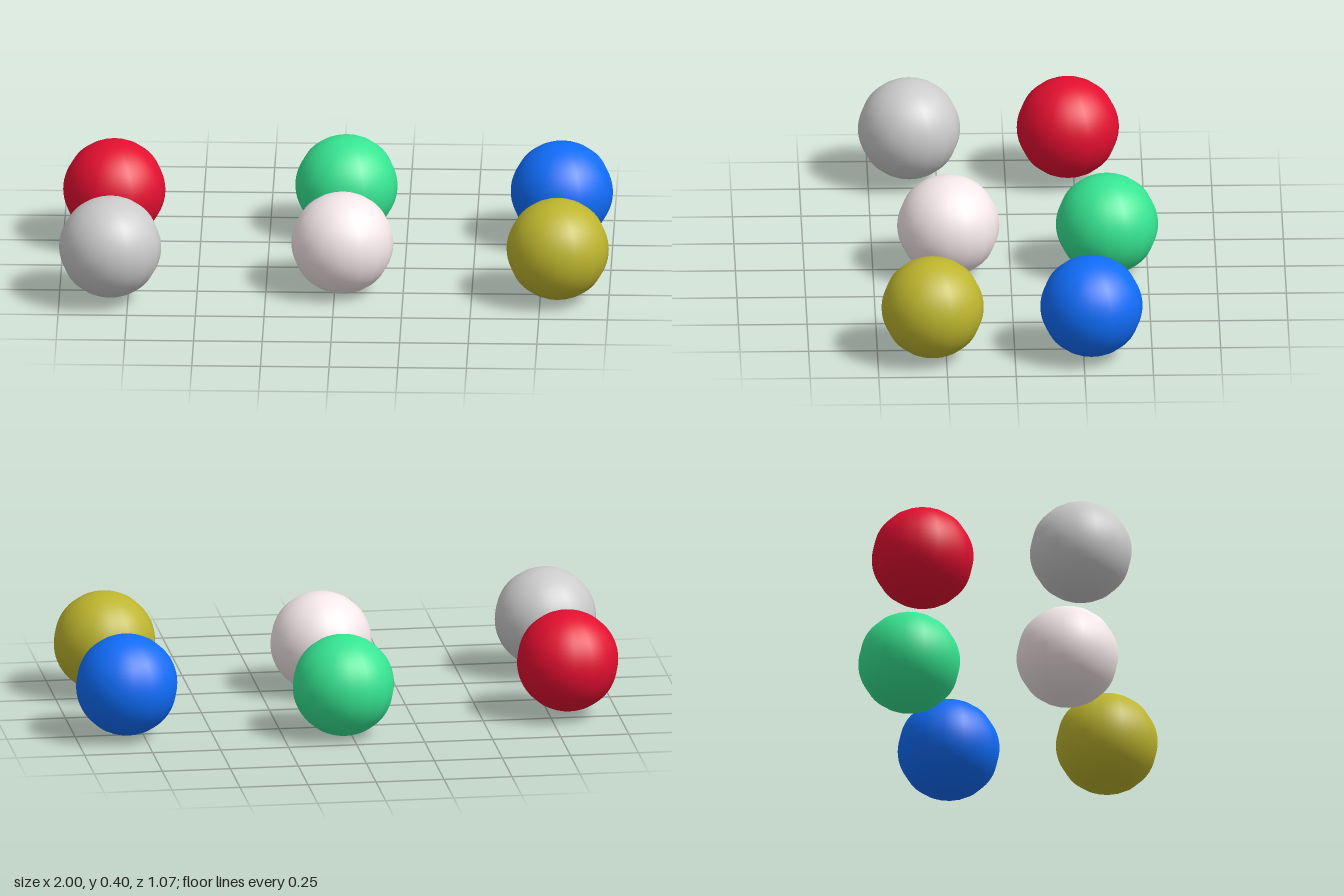
import * as THREE from 'three';

const RADIUS = 0.186;

// name, colour, centre
const BALLS = [
  ['greyBall', 0xcccccc, [-0.814, 0.211, 0.35]],
  ['redBall', 0xe30f30, [-0.814, 0.211, -0.228]],
  ['whiteBall', 0xf5e8ea, [0.028, 0.187, 0.226]],
  ['greenBall', 0x36e592, [0.028, 0.187, -0.352]],
  ['yellowBall', 0xbdb52e, [0.814, 0.199, 0.3]],
  ['blueBall', 0x106dfa, [0.814, 0.199, -0.278]],
];

export function createModel() {
  const model = new THREE.Group();
  model.name = 'balls';

  // Smooth sphere with 16 meridians and fine rings, shared by every ball
  const sphere = new THREE.SphereGeometry(RADIUS, 16, 32);

  // Two rows of three balls
  for (const [name, color, position] of BALLS) {
    const ball = new THREE.Mesh(sphere, new THREE.MeshStandardMaterial({ color }));
    ball.name = name;
    ball.position.set(...position);
    model.add(ball);
  }
  return model;
}
